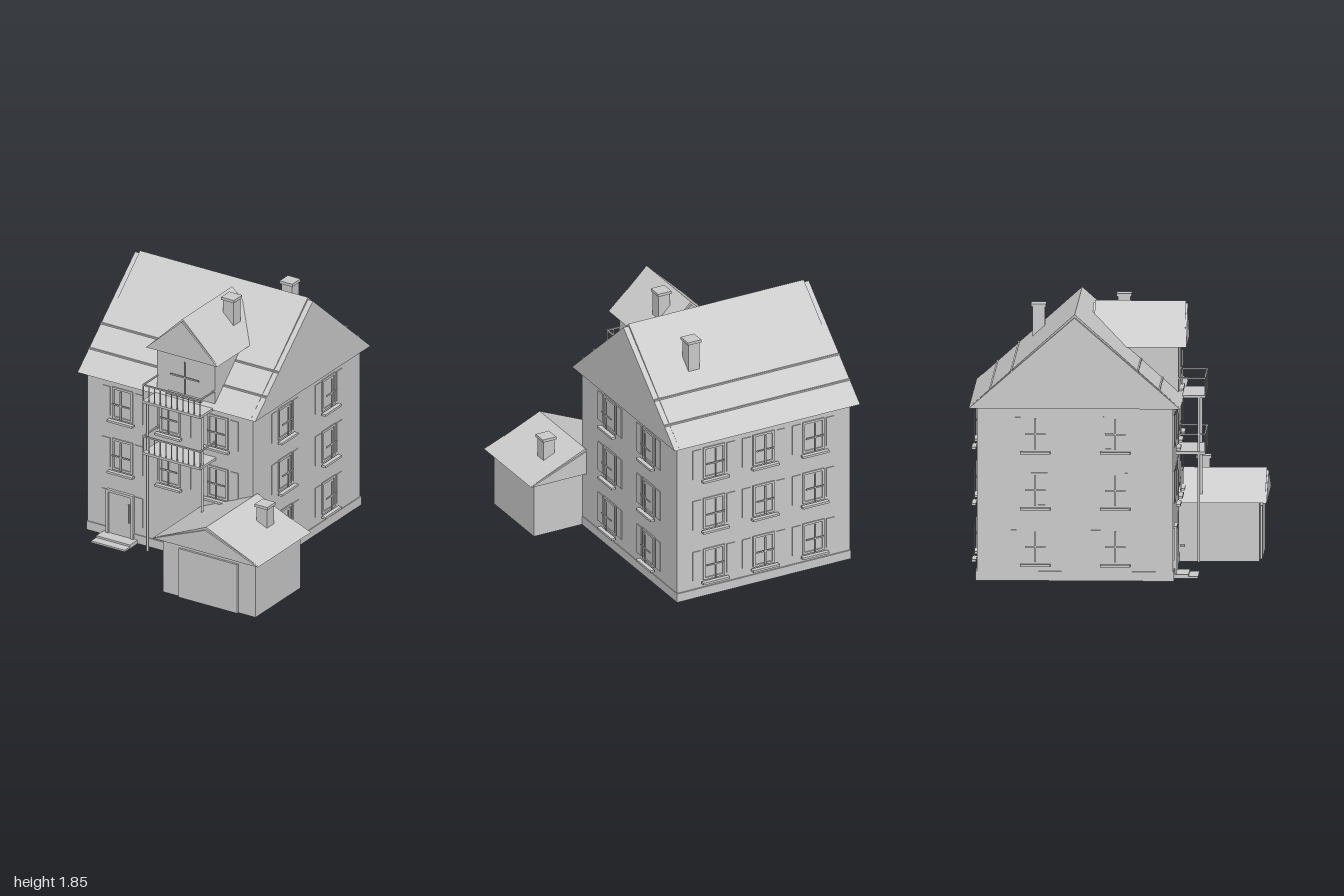
import * as THREE from 'three';

export function createModel() {
  const model = new THREE.Group();
  model.name = 'house';
  const plaster = new THREE.MeshStandardMaterial({ color: 0xcccccc });
  plaster.name = 'plain grey';

  const add = (parent, name, geometry) => {
    const mesh = new THREE.Mesh(geometry, plaster);
    mesh.name = name;
    parent.add(mesh);
    return mesh;
  };
  // Box given by its limits on each axis
  const box = (parent, name, x0, x1, y0, y1, z0, z1) => {
    const mesh = add(parent, name, new THREE.BoxGeometry(x1 - x0, y1 - y0, z1 - z0));
    mesh.position.set((x0 + x1) / 2, (y0 + y1) / 2, (z0 + z1) / 2);
    return mesh;
  };
  const group = (parent, name) => {
    const g = new THREE.Group();
    g.name = name;
    parent.add(g);
    return g;
  };

  // Gable roof with its ridge along z, plus a raised covering inset from the gables
  function gableRoof(name, half, rise, length, inset) {
    const roof = group(model, name);
    const prism = (part, h, len) => {
      const shape = new THREE.Shape();
      shape.moveTo(-half, 0);
      shape.lineTo(half, 0);
      shape.lineTo(0, h);
      shape.closePath();
      const geo = new THREE.ExtrudeGeometry(shape, { depth: len, bevelEnabled: false });
      add(roof, part, geo.translate(0, 0, -len / 2));
    };
    prism('gables', rise, length);
    prism('covering', rise + 0.018, length - 2 * inset);
    return roof;
  }

  function chimney(name, x, z, y0, y1) {
    const c = group(model, name);
    box(c, 'stack', x - 0.043, x + 0.043, y0, y1 - 0.02, z - 0.043, z + 0.043);
    box(c, 'cap', x - 0.052, x + 0.052, y1 - 0.02, y1, z - 0.052, z + 0.052);
  }

  // Window on a wall facing local +z, centred on its own origin
  function windowAt(x, y, z, turn) {
    const w = group(model, 'window');
    w.position.set(x, y, z);
    w.rotation.y = turn;
    for (const s of [-1, 1]) {
      box(w, 'frameSide', s * 0.075 - 0.008, s * 0.075 + 0.008, -0.118, 0.118, 0, 0.008);
      box(w, 'frameRail', -0.083, 0.083, s * 0.11 - 0.008, s * 0.11 + 0.008, 0, 0.008);
      box(w, 'shutter', s * 0.133 - 0.032, s * 0.133 + 0.032, -0.108, 0.112, 0, 0.005);
    }
    box(w, 'upright', -0.005, 0.005, -0.106, 0.106, 0.026, 0.032);
    box(w, 'crossbar', -0.07, 0.07, -0.005, 0.005, 0.026, 0.032);
    box(w, 'sill', -0.103, 0.103, -0.137, -0.121, 0.014, 0.045);
  }

  // Main walls and plinth
  box(model, 'walls', -0.865, 0.48, 0, 1.19, -0.942, 0.393);
  box(model, 'plinth', -0.871, 0.486, 0, 0.065, -0.952, 0.4);

  // Windows on all four sides
  const rows = [0.237, 0.625, 1.012];
  const columns = [-0.58, -0.192, 0.195];
  for (const y of rows) {
    for (const x of columns) {
      windowAt(x, y, -0.942, Math.PI);
      if (y > 0.3 || x > 0) windowAt(x, y, 0.393, 0);
    }
    for (const z of [0, -0.545]) {
      windowAt(0.48, y, z, Math.PI / 2);
      windowAt(-0.865, y, z, -Math.PI / 2);
    }
  }

  // Front door with its shutters and steps
  const door = group(model, 'frontDoor');
  for (const x of [-0.713, -0.447]) {
    box(door, 'shutter', x - 0.032, x + 0.032, 0.125, 0.345, 0.393, 0.398);
  }
  for (const x of [-0.695, -0.493]) {
    box(door, 'doorPost', x - 0.01, x + 0.01, 0.025, 0.35, 0.393, 0.415);
  }
  box(door, 'lintel', -0.705, -0.483, 0.335, 0.353, 0.393, 0.415);
  box(door, 'doorPanel', -0.685, -0.503, 0.025, 0.335, 0.393, 0.405);
  box(door, 'handle', -0.525, -0.515, 0.14, 0.28, 0.405, 0.415);
  box(model, 'lowerStep', -0.73, -0.455, 0, 0.013, 0.39, 0.56);
  box(model, 'upperStep', -0.73, -0.455, 0.013, 0.027, 0.39, 0.495);

  // Main roof with snow rails
  const mainRoof = gableRoof('mainRoof', 0.7215, 0.625, 1.445, 0.04);
  mainRoof.rotation.y = Math.PI / 2;
  mainRoof.position.set(-0.1925, 1.19, -0.2765);
  for (const side of [-1, 1]) {
    for (const d of [0.432, 0.578]) {
      const y = 1.19 + 0.643 * (1 - d / 0.7215);
      const z = -0.2765 + side * d;
      box(model, 'snowRail', -0.915, 0.53, y - 0.005, y + 0.006, z - 0.005, z + 0.005);
    }
  }

  // Dormer
  box(model, 'dormerWalls', -0.29, 0.18, 1.19, 1.54, -0.1, 0.41);
  gableRoof('dormerRoof', 0.29, 0.265, 0.645, 0.012).position.set(-0.055, 1.535, 0.1425);
  const glazing = group(model, 'dormerWindow');
  box(glazing, 'upright', -0.059, -0.051, 1.24, 1.48, 0.422, 0.43);
  box(glazing, 'crossbar', -0.17, 0.06, 1.36, 1.37, 0.422, 0.43);
  box(glazing, 'sill', -0.195, 0.085, 1.215, 1.23, 0.41, 0.44);

  // Two balconies with railings, carried by two posts
  for (const y of [0.793, 1.18]) {
    const b = group(model, 'balcony');
    box(b, 'deck', -0.29, 0.18, y, y + 0.018, 0.39, 0.595);
    box(b, 'frontRail', -0.29, 0.18, y + 0.132, y + 0.142, 0.585, 0.595);
    for (const x of [-0.285, 0.175]) {
      box(b, 'sideRail', x - 0.005, x + 0.005, y + 0.132, y + 0.142, 0.39, 0.595);
    }
    for (let i = 0; i <= 10; i++) {
      const x = -0.285 + i * 0.046;
      box(b, 'baluster', x - 0.003, x + 0.003, y + 0.018, y + 0.135, 0.587, 0.593);
    }
  }
  for (const x of [-0.278, 0.168]) {
    const post = add(model, 'balconyPost', new THREE.CylinderGeometry(0.009, 0.009, 1.13, 12));
    post.position.set(x, 0.615, 0.548);
  }

  // Garage
  box(model, 'garageWalls', 0.108, 0.86, 0, 0.415, 0.385, 0.948);
  box(model, 'garageDoor', 0.245, 0.72, 0, 0.367, 0.94, 0.963);
  gableRoof('garageRoof', 0.428, 0.17, 0.667, 0.012).position.set(0.483, 0.41, 0.664);

  // Chimneys
  chimney('mainChimney', 0.16, -0.56, 1.45, 1.767);
  chimney('dormerChimney', 0.067, 0.027, 1.6, 1.853);
  chimney('garageChimney', 0.677, 0.547, 0.45, 0.656);

  return model;
}
